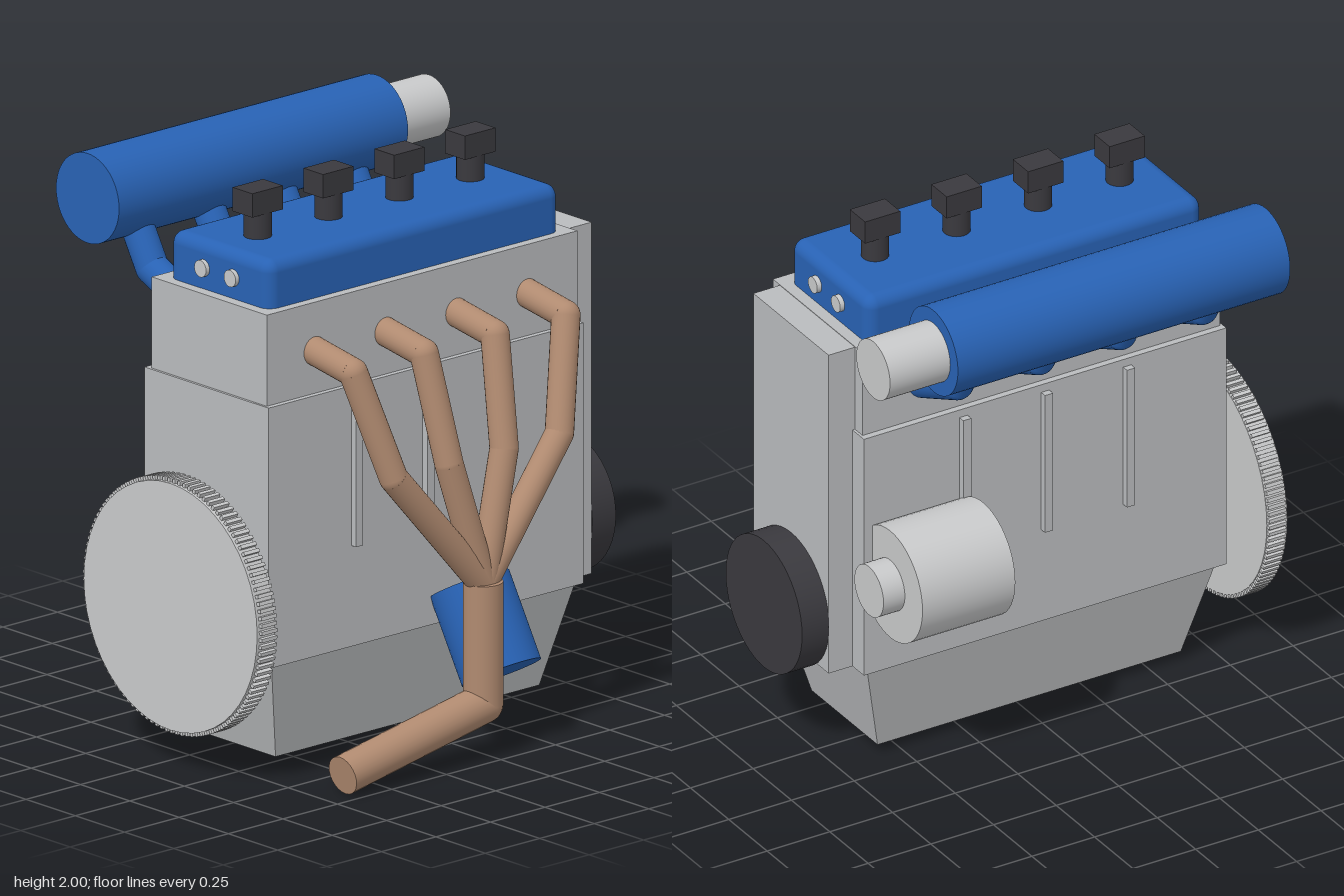
import * as THREE from 'three';
import { RoundedBoxGeometry } from 'three/addons/geometries/RoundedBoxGeometry.js';

const mat = (name, color) => Object.assign(new THREE.MeshStandardMaterial({ color }), { name });

export function createModel() {
  const root = new THREE.Group();
  root.name = 'engine';
  const castGrey = mat('cast grey', 0xb9bbbd);
  const steel = mat('bright steel', 0xc8c9ca);
  const blue = mat('blue paint', 0x2862b4);
  const copper = mat('copper', 0xb08a70);
  const black = mat('black rubber', 0x3a393e);
  const V = (x, y, z) => new THREE.Vector3(x, y, z);
  const midZ = 0.08, crankY = 0.585;
  const ports = [-0.51, -0.185, 0.14, 0.465];

  function add(name, geo, material, x = 0, y = 0, z = 0, parent = root) {
    const m = new THREE.Mesh(geo, material);
    m.name = name;
    m.position.set(x, y, z);
    parent.add(m);
    return m;
  }
  // box given by its limits on each axis
  function box(name, material, x0, x1, y0, y1, z0, z1) {
    return add(name, new THREE.BoxGeometry(x1 - x0, y1 - y0, z1 - z0), material,
      (x0 + x1) / 2, (y0 + y1) / 2, (z0 + z1) / 2);
  }
  // cylinder lying along x
  function barrel(name, material, r, x0, x1, y, z) {
    const g = new THREE.CylinderGeometry(r, r, x1 - x0, 48).rotateZ(-Math.PI / 2);
    return add(name, g, material, (x0 + x1) / 2, y, z);
  }
  // straight pipe sections with ball joints at the bends
  function pipe(name, material, r, pts) {
    const group = new THREE.Group();
    group.name = name;
    for (let i = 0; i < pts.length - 1; i++) {
      const d = pts[i + 1].clone().sub(pts[i]);
      const c = pts[i].clone().addScaledVector(d, 0.5);
      const seg = add(name + 'Section', new THREE.CylinderGeometry(r, r, d.length(), 24), material, c.x, c.y, c.z, group);
      seg.quaternion.setFromUnitVectors(V(0, 1, 0), d.normalize());
      if (i > 0) add(name + 'Joint', new THREE.SphereGeometry(r, 24, 16), material, ...pts[i].toArray(), group);
    }
    root.add(group);
  }

  // block, head and timing cover
  box('block', castGrey, -0.74, 0.705, 0.40, 1.33, -0.24, 0.39);
  box('cylinderHead', castGrey, -0.73, 0.695, 1.33, 1.655, -0.215, 0.37);
  box('timingCover', castGrey, 0.69, 0.80, 0.40, 1.653, -0.165, 0.325);
  for (const x of [-0.345, -0.018, 0.308]) {
    box('frontRib', castGrey, x - 0.016, x + 0.016, 0.76, 1.30, 0.38, 0.415);
    box('backRib', castGrey, x - 0.016, x + 0.016, 0.76, 1.30, -0.265, -0.23);
  }

  // oil pan, narrowing downward
  const pan = new THREE.BoxGeometry(1.39, 0.36, 0.59);
  const p = pan.attributes.position;
  for (let i = 0; i < p.count; i++) {
    if (p.getY(i) < 0) {
      p.setX(i, p.getX(i) * 0.87);
      p.setZ(i, p.getZ(i) * 0.73);
    }
  }
  pan.computeVertexNormals();
  add('oilPan', pan, castGrey, -0.018, 0.22, midZ);

  // valve cover with end bolts
  add('valveCover', new RoundedBoxGeometry(1.34, 0.25, 0.51, 5, 0.045), blue, -0.02, 1.70, midZ);
  for (const z of [0.005, 0.155]) {
    barrel('coverBoltLeft', steel, 0.03, 0.63, 0.668, 1.73, z);
    barrel('coverBoltRight', steel, 0.03, -0.706, -0.67, 1.73, z);
  }

  // per-cylinder ignition coil, intake runner and exhaust header
  const hub = -0.02;
  for (const x of ports) {
    add('coilStem', new THREE.CylinderGeometry(0.048, 0.048, 0.11, 24), black, x, 1.865, midZ);
    box('coilCap', black, x - 0.07, x + 0.07, 1.915, 2.0, 0.03, 0.13);
    pipe('intakeRunner', blue, 0.058, [V(x, 1.48, -0.225), V(x, 1.585, -0.455), V(x, 1.83, -0.595)]);
    pipe('exhaustHeader', copper, 0.05, [V(x, 1.485, 0.35), V(x, 1.45, 0.565),
      V(hub + (x - hub) * 0.78, 1.07, 0.65), V(hub, 0.62, 0.682)]);
  }

  // intake plenum and throttle inlet
  barrel('plenum', blue, 0.16, -0.68, 0.645, 1.836, -0.595);
  barrel('throttleInlet', steel, 0.11, 0.64, 0.885, 1.836, -0.595);

  // exhaust collector and tail pipe
  pipe('collector', copper, 0.069, [V(hub, 0.63, 0.682), V(hub, 0.193, 0.682), V(-0.664, 0.072, 0.682)]);

  // oil filter, tilted outward
  const filter = add('oilFilter', new THREE.CylinderGeometry(0.143, 0.143, 0.323, 40), blue, 0.13, 0.395, 0.528);
  filter.rotation.x = -Math.PI / 6;

  // flywheel with ring gear and crank flange
  const teeth = 110, gear = new THREE.Shape();
  for (let i = 0; i < teeth; i++) {
    [[0, 0.436], [0.5, 0.436], [0.5, 0.454], [1, 0.454]].forEach(([t, r], k) => {
      const a = (i + t) / teeth * Math.PI * 2;
      gear[i + k ? 'lineTo' : 'moveTo'](r * Math.cos(a), r * Math.sin(a));
    });
  }
  const ring = new THREE.ExtrudeGeometry(gear, { depth: 0.07, bevelEnabled: false });
  add('ringGear', ring.rotateY(Math.PI / 2), steel, -0.9, crankY, midZ);
  barrel('flywheel', steel, 0.44, -0.91, -0.828, crankY, midZ);
  barrel('crankFlange', steel, 0.085, -0.84, -0.73, crankY, midZ);

  // crank pulley
  barrel('crankPulley', black, 0.249, 0.80, 0.908, crankY, midZ);

  // alternator
  barrel('alternator', steel, 0.21, 0.30, 0.67, 0.806, -0.355);
  barrel('alternatorPulley', steel, 0.095, 0.66, 0.755, 0.806, -0.355);

  return root;
}
